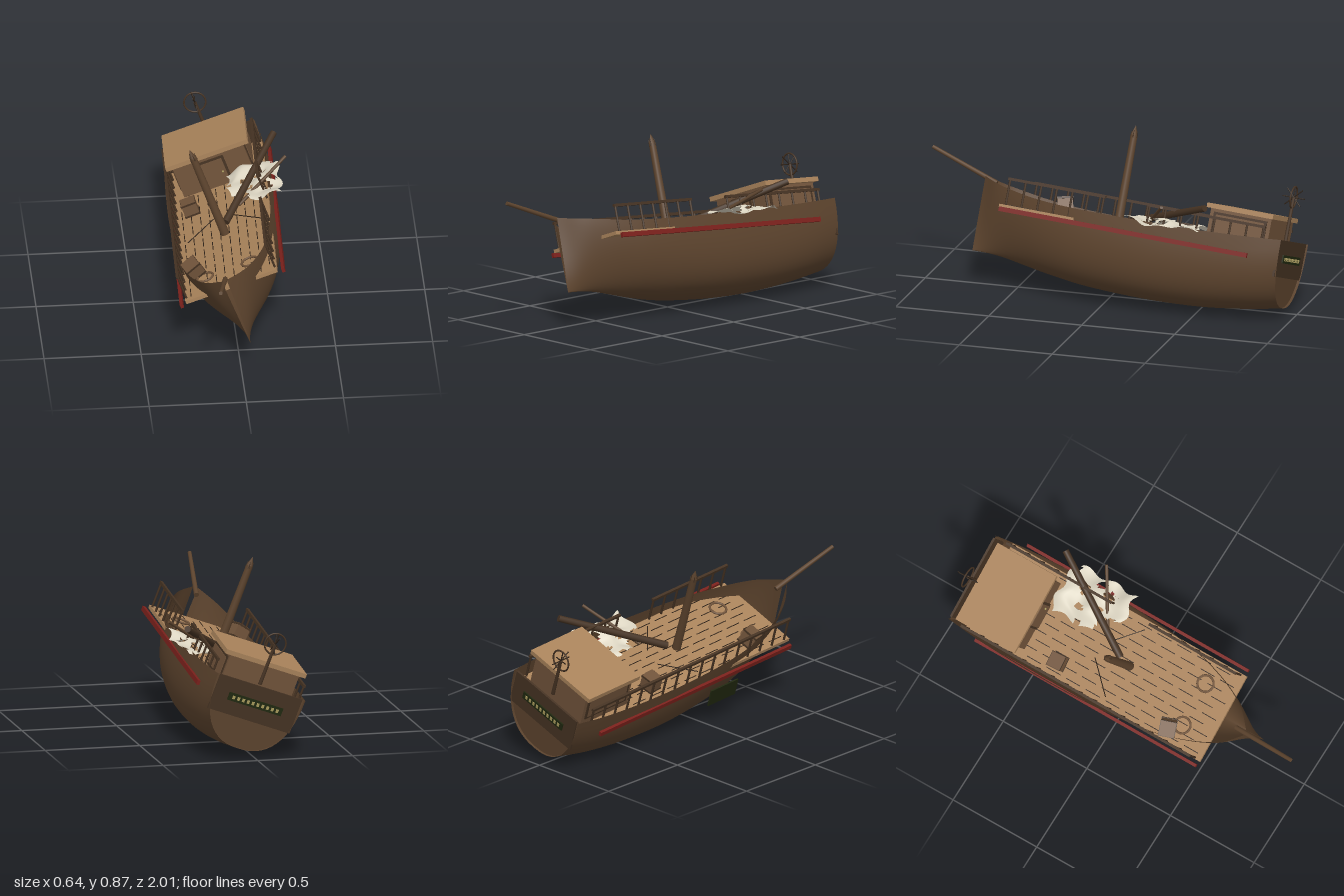
import * as THREE from 'three';

const mat = (name, color, side = THREE.FrontSide) => {
  const m = new THREE.MeshStandardMaterial({ color, side });
  m.name = name;
  return m;
};

export function createModel() {
  const hullWood = mat('hull brown', 0x5c432d, THREE.DoubleSide);
  const deckWood = mat('deck tan', 0xa8825a);
  const cabinWood = mat('cabin brown', 0x70533a);
  const darkWood = mat('dark wood', 0x453222);
  const seamDark = mat('seam black brown', 0x2e2218);
  const red = mat('faded red', 0x7a201b);
  const cloth = mat('sail cream', 0xdcd5c2, THREE.DoubleSide);
  const green = mat('weed green', 0x20280f);
  const gold = mat('dull gold', 0xa89a5c);

  // The wreck lies rolled to one side with its bow raised
  const model = new THREE.Group();
  model.name = 'shipwreck';
  const tilt = new THREE.Group();
  tilt.name = 'tiltedShip';
  tilt.rotation.set(-0.085, 0, 0.35, 'ZXY');
  model.add(tilt);
  const ship = new THREE.Group();
  ship.name = 'ship';
  ship.position.x = 0.103;
  tilt.add(ship);

  const add = (name, geo, material, x = 0, y = 0, z = 0, parent = ship) => {
    const m = new THREE.Mesh(geo, material);
    m.name = name;
    m.position.set(x, y, z);
    parent.add(m);
    return m;
  };
  const box = (name, w, h, d, material, x, y, z, parent) =>
    add(name, new THREE.BoxGeometry(w, h, d), material, x, y, z, parent);
  const pole = (name, a, b, r1, r2, material, parent, sides = 12) => {
    const p = new THREE.Vector3(...a), q = new THREE.Vector3(...b);
    const m = add(name, new THREE.CylinderGeometry(r2, r1, p.distanceTo(q), sides), material, 0, 0, 0, parent);
    m.position.copy(p).add(q).multiplyScalar(0.5);
    m.quaternion.setFromUnitVectors(new THREE.Vector3(0, 1, 0), q.sub(p).normalize());
    return m;
  };
  const group = (name) => {
    const g = new THREE.Group();
    g.name = name;
    ship.add(g);
    return g;
  };

  // Hull stations: z, half width, sheer height, keel height, fullness
  const stations = [
    [-0.945, 0.245, 0.44, 0.096, 2.4], [-0.75, 0.265, 0.425, 0.058, 2.6],
    [-0.5, 0.275, 0.412, 0.025, 2.7], [-0.2, 0.275, 0.405, 0.012, 2.7],
    [0.1, 0.258, 0.402, 0.02, 2.4], [0.3, 0.232, 0.407, 0.042, 2.1],
    [0.45, 0.193, 0.42, 0.066, 1.8], [0.57, 0.147, 0.439, 0.086, 1.55],
    [0.66, 0.095, 0.457, 0.093, 1.35], [0.743, 0.013, 0.48, 0.093, 1.2],
  ];
  const topLine = new THREE.CatmullRomCurve3(stations.map(s => new THREE.Vector3(s[0], s[1], s[2])), false, 'catmullrom');
  const lowLine = new THREE.CatmullRomCurve3(stations.map(s => new THREE.Vector3(s[0], s[3], s[4])), false, 'catmullrom');
  const N = 45, M = 28;
  const section = (t) => {
    const a = topLine.getPoint(t), b = lowLine.getPoint(t), pts = [];
    for (let j = 0; j <= M; j++) {
      const ang = (j / M - 0.5) * Math.PI, e = 2 / b.z, s = Math.sin(ang);
      pts.push([Math.sign(s) * a.y * Math.abs(s) ** e,
        a.z - (a.z - b.y) * Math.max(0, Math.cos(ang)) ** e, a.x]);
    }
    return pts;
  };
  const verts = [], idx = [];
  for (let i = 0; i <= N; i++) {
    section(i / N).forEach(p => verts.push(...p));
    for (let j = 0; i < N && j < M; j++) {
      const a = i * (M + 1) + j, b = a + M + 1;
      idx.push(a, a + 1, b, a + 1, b + 1, b);
    }
  }
  const hullGeo = new THREE.BufferGeometry();
  hullGeo.setAttribute('position', new THREE.Float32BufferAttribute(verts, 3));
  hullGeo.setIndex(idx);
  hullGeo.computeVertexNormals();
  add('hull', hullGeo, hullWood);

  // Transom, stern board and blank name plate with studs
  const sternShape = new THREE.Shape(section(0).map(p => new THREE.Vector2(p[0] * 0.99, p[1])));
  add('transom', new THREE.ShapeGeometry(sternShape), hullWood, 0, 0, -0.932);
  box('sternBoard', 0.46, 0.19, 0.012, darkWood, 0, 0.345, -0.934);
  box('namePlate', 0.3, 0.042, 0.008, green, 0, 0.345, -0.943);
  for (let i = 0; i < 10; i++) box('plateStud', 0.014, 0.018, 0.004, gold, -0.122 + i * 0.027, 0.345, -0.948);

  // Deck with dashed plank seams
  box('deck', 0.5, 0.018, 1.43, deckWood, 0, 0.346, -0.143);
  for (let i = 0; i < 10; i++) {
    const x = -0.216 + i * 0.048;
    for (let k = 0; k < 9; k++)
      box('plankSeam', 0.004, 0.002, 0.085, seamDark, x, 0.356, 0.5 - k * 0.12 - (i % 2) * 0.05);
  }

  // Rub rails and side railings
  for (const s of [-1, 1]) box('rubRail', 0.016, 0.024, 1.35, red, s * 0.278, 0.33, -0.115);
  const railing = (side, z0, z1) => {
    const g = group('railing'), x = side * 0.242, n = Math.round((z0 - z1) / 0.088);
    box('handRail', 0.014, 0.014, z0 - z1 + 0.02, darkWood, x, 0.49, (z0 + z1) / 2, g);
    for (let i = 0; i <= n; i++)
      pole('railPost', [x, 0.35, z0 + (z1 - z0) * i / n], [x, 0.488, z0 + (z1 - z0) * i / n], 0.006, 0.006, darkWood, g, 6);
  };
  railing(-1, 0.54, -0.84);
  railing(1, 0.54, 0.03);
  railing(1, -0.22, -0.84);

  // Cabin with roof, door and side panels
  const cabin = group('cabin');
  box('cabinWalls', 0.385, 0.185, 0.33, cabinWood, 0, 0.445, -0.695, cabin);
  box('cabinRoof', 0.448, 0.024, 0.36, deckWood, 0, 0.548, -0.694, cabin);
  box('doorFrame', 0.15, 0.16, 0.008, darkWood, 0, 0.435, -0.527, cabin);
  box('door', 0.125, 0.148, 0.008, cabinWood, 0, 0.43, -0.523, cabin);
  add('doorKnob', new THREE.SphereGeometry(0.006, 8, 6), gold, 0.045, 0.43, -0.517, cabin);
  for (const s of [-1, 1]) {
    box('sideFrame', 0.008, 0.13, 0.29, darkWood, s * 0.194, 0.455, -0.695, cabin);
    box('sidePanel', 0.008, 0.105, 0.262, cabinWood, s * 0.197, 0.455, -0.695, cabin);
  }

  // Steering wheel on its post; the spokes stand across the rim
  const wheel = group('steeringWheel');
  pole('wheelPost', [0, 0.44, -0.896], [0, 0.665, -0.896], 0.01, 0.008, darkWood, wheel);
  add('wheelRim', new THREE.TorusGeometry(0.056, 0.0045, 8, 32), darkWood, 0, 0.666, -0.896, wheel);
  for (let i = 0; i < 4; i++) {
    const a = i * Math.PI / 4, y = Math.cos(a) * 0.06, z = Math.sin(a) * 0.06;
    pole('spoke', [0, 0.666 - y, -0.896 - z], [0, 0.666 + y, -0.896 + z], 0.003, 0.003, seamDark, wheel, 6);
  }

  // Broken mast with splintered top, bowsprit and fallen spars
  const mast = group('brokenMast');
  pole('mastStump', [0, 0.1, 0], [0, 0.83, 0.005], 0.026, 0.018, hullWood, mast, 14);
  add('mastTip', new THREE.ConeGeometry(0.018, 0.05, 8), hullWood, 0, 0.855, 0.005, mast);
  for (let i = 0; i < 5; i++) {
    const a = i * 1.257;
    add('splinter', new THREE.ConeGeometry(0.006, 0.04, 5), darkWood,
      Math.cos(a) * 0.015, 0.835, 0.005 + Math.sin(a) * 0.015, mast);
  }
  pole('bowsprit', [0, 0.455, 0.68], [0, 0.578, 1.053], 0.013, 0.01, hullWood);
  pole('fallenMast', [0.017, 0.385, -0.057], [0.36, 0.528, -0.547], 0.02, 0.017, darkWood);
  pole('fallenYard', [0.1, 0.39, -0.18], [0.4, 0.49, -0.33], 0.009, 0.008, hullWood);

  // Torn sail: a rippled sheet with ragged edges and missing patches
  const sailGeo = new THREE.PlaneGeometry(0.27, 0.37, 18, 22).rotateX(-Math.PI / 2);
  const p = sailGeo.attributes.position;
  for (let i = 0; i < p.count; i++) {
    const x = p.getX(i), z = p.getZ(i);
    p.setX(i, x + 0.012 * Math.sin(z * 38));
    p.setZ(i, z + 0.014 * Math.sin(x * 45 + 1));
    p.setY(i, 0.012 * Math.sin(x * 30 + z * 22) + 0.008 * Math.cos(z * 40) - Math.max(0, x - 0.06) * 0.3);
  }
  const holes = [[0.04, -0.07, 0.03], [-0.055, -0.06, 0.023], [0.06, 0.06, 0.026],
    [-0.12, 0.15, 0.09], [0.1, 0.0, 0.02], [-0.02, 0.05, 0.016], [-0.135, -0.02, 0.02], [0.13, -0.17, 0.03]];
  const keep = [], all = sailGeo.index.array;
  for (let i = 0; i < all.length; i += 6) {
    const x = (p.getX(all[i]) + p.getX(all[i + 4])) / 2, z = (p.getZ(all[i]) + p.getZ(all[i + 4])) / 2;
    if (holes.every(h => Math.hypot(x - h[0], z - h[1]) > h[2])) keep.push(...all.slice(i, i + 6));
  }
  sailGeo.setIndex(keep);
  sailGeo.computeVertexNormals();
  add('tornSail', sailGeo, cloth, 0.195, 0.42, -0.315);

  // Deck clutter: crates, rope coils and loose lines
  const crate = (x, y, z, size, rx, ry, rz) => {
    const g = group('crate');
    g.position.set(x, y, z);
    g.rotation.set(rx, ry, rz);
    box('crateBody', size, size, size, cabinWood, 0, 0, 0, g);
    for (const s of [-1, 1]) box('crateBand', size * 1.06, size * 0.12, size * 1.06, darkWood, 0, s * size * 0.42, 0, g);
  };
  crate(-0.16, 0.394, -0.335, 0.076, 0, 0.05, 0);
  crate(-0.175, 0.405, 0.35, 0.08, 0.25, 0.3, 0.2);
  for (const x of [-0.13, 0.114])
    add('ropeCoil', new THREE.TorusGeometry(0.043, 0.006, 8, 28), cabinWood, x, 0.361, 0.4).rotation.x = Math.PI / 2;
  pole('looseLine', [-0.2, 0.359, -0.03], [-0.05, 0.362, -0.18], 0.0025, 0.0025, seamDark, ship, 6);
  pole('looseLine', [0.06, 0.362, -0.15], [0.2, 0.359, -0.02], 0.0025, 0.0025, seamDark, ship, 6);

  // Weed-covered plank hanging on the low side
  box('weedPatch', 0.008, 0.1, 0.19, green, -0.286, 0.225, 0.1);

  return model;
}
